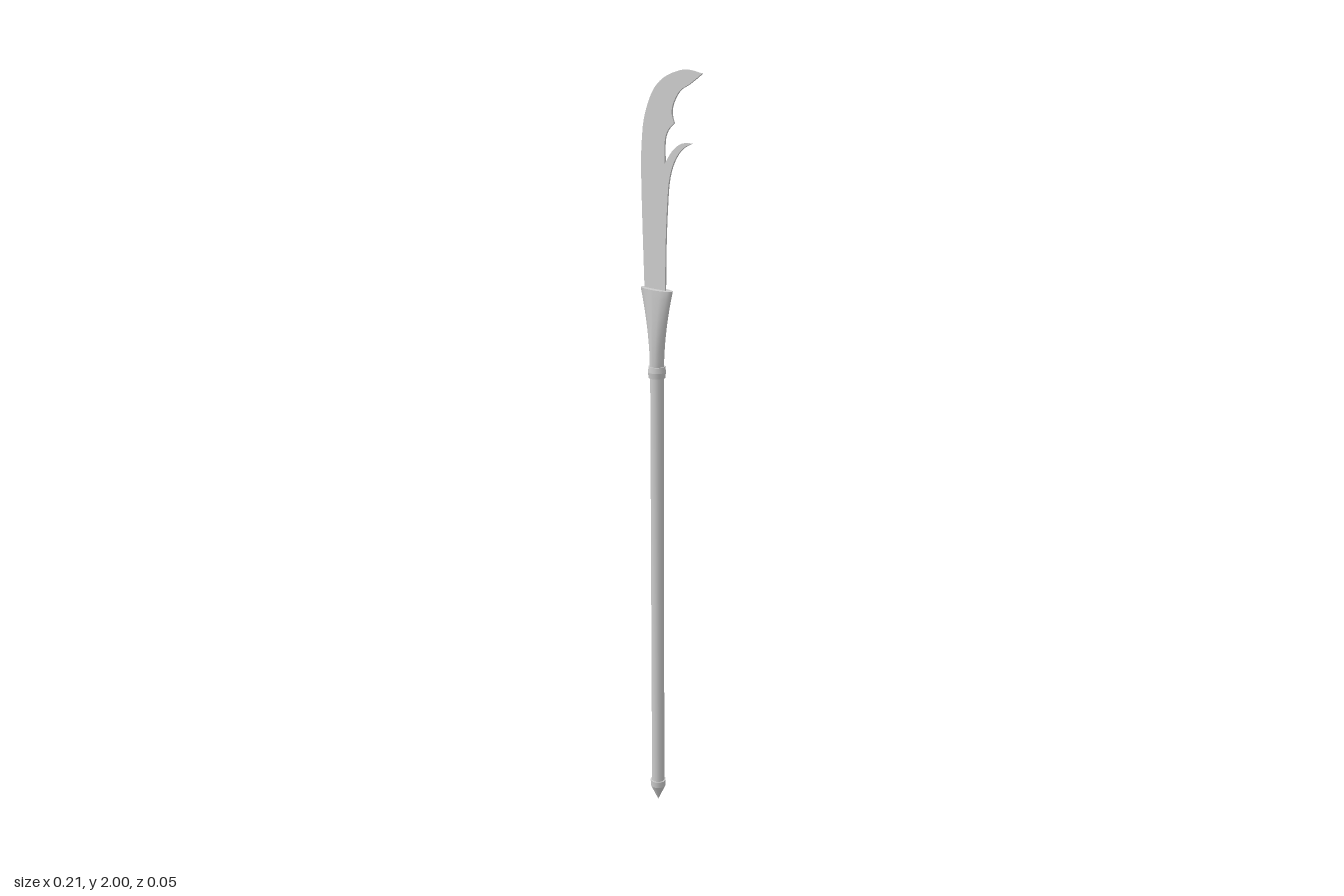
import * as THREE from 'three';

const AXIS = -0.05; // x of the pole's centre line
const SIDES = 12;

export function createModel() {
  const group = new THREE.Group();
  const material = new THREE.MeshStandardMaterial({ color: 0xcccccc });

  function add(name, geometry, x, y, z) {
    const mesh = new THREE.Mesh(geometry, material);
    mesh.name = name;
    mesh.position.set(x, y, z);
    group.add(mesh);
  }
  const turned = (name, rBottom, rTop, y0, y1) => add(name,
    new THREE.CylinderGeometry(rTop, rBottom, y1 - y0, SIDES), AXIS, (y0 + y1) / 2, 0);

  // Pole with its pointed foot and the ring below the socket
  turned('shaft', 0.018, 0.018, 0.06, 1.27);
  turned('footSpike', 0, 0.021, 0, 0.046);
  turned('footBand', 0.021, 0.022, 0.046, 0.064);
  turned('collarLower', 0.022, 0.024, 1.235, 1.25);
  turned('collarUpper', 0.024, 0.022, 1.25, 1.265);

  // Socket: round at the foot, flaring sideways into a flat oval mouth
  const bottom = 1.262, height = 0.203;
  const socket = new THREE.CylinderGeometry(1, 1, height, SIDES, 10);
  const p = socket.attributes.position;
  for (let i = 0; i < p.count; i++) {
    const t = Math.max(0, p.getY(i) / height + 0.5);
    p.setX(i, p.getX(i) * (0.019 + 0.037 * t ** 1.8));
    p.setZ(i, p.getZ(i) * 0.019);
  }
  socket.computeVertexNormals();
  add('socket', socket, AXIS, bottom + height / 2, 0);

  // Flat hooked blade with a curved spur, one curve between each pair of corners
  const blade = new THREE.Shape();
  blade.moveTo(-0.018, 1.45);
  const edges = [
    [[-0.016, 1.577], [-0.01, 1.683], [-0.003, 1.741], [0.013, 1.783], [0.04, 1.815], [0.074, 1.831]],
    [[0.04, 1.829], [0.008, 1.81], [-0.0185, 1.778]],
    [[-0.0185, 1.83], [-0.008, 1.857], [0.013, 1.875]],
    [[0.005, 1.9], [0.013, 1.926], [0.034, 1.952], [0.066, 1.968], [0.106, 1.992]],
    [[0.061, 2.0], [0.024, 1.996], [-0.024, 1.979], [-0.061, 1.947], [-0.087, 1.894],
      [-0.098, 1.84], [-0.102, 1.736], [-0.092, 1.45]],
  ];
  for (const edge of edges) {
    blade.splineThru(edge.map(([x, y]) => new THREE.Vector2(x, y)));
  }
  const thickness = 0.004;
  add('blade', new THREE.ExtrudeGeometry(blade, {
    depth: thickness, bevelEnabled: false, curveSegments: 3,
  }), 0, 0, -thickness / 2);

  return group;
}
